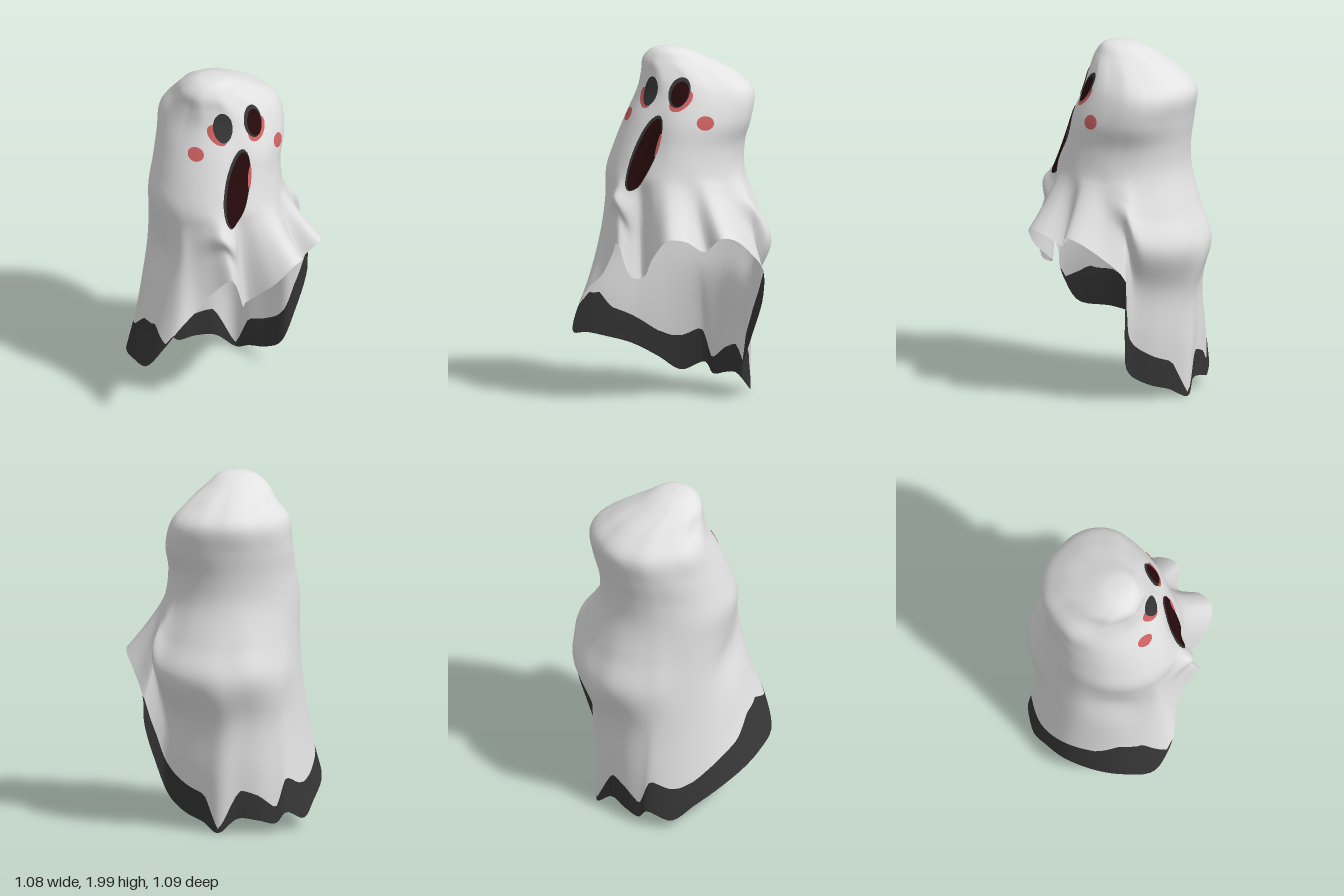
import * as THREE from 'three';

const mat = (name, color) => {
  const m = new THREE.MeshStandardMaterial({ color, side: THREE.DoubleSide });
  m.name = name;
  return m;
};
const cloth = mat('pale cloth', 0xe2e2e2);
const charcoal = mat('charcoal', 0x363636);
const maroon = mat('dark maroon', 0x260a0c);
const blush = mat('blush red', 0xd06262);

// Head rings: y, x min, x max, z min, z max
const HEAD = [
  [2.0, -0.06, -0.06, 0.04, 0.04],
  [1.985, -0.16, 0.03, -0.06, 0.12],
  [1.93, -0.25, 0.09, -0.19, 0.17],
  [1.85, -0.32, 0.17, -0.34, 0.18],
  [1.75, -0.39, 0.24, -0.44, 0.20],
  [1.6, -0.41, 0.29, -0.425, 0.27],
  [1.45, -0.415, 0.30, -0.40, 0.335],
  [1.3, -0.43, 0.325, -0.40, 0.385],
];
// Local swellings of the head: angle, y, angular width, height, amount
const BUMPS = [
  [0.83, 1.43, 0.24, 0.2, -0.04],
  [5.5, 1.68, 0.5, 0.14, 0.045],
  [2.7, 1.74, 0.3, 0.06, 0.02],
];
// Hem corners, from the left side round by the front: x, y, z, bulge above
const HEM = [
  [0.45, 0.90, -0.03, 0], [0.51, 0.97, 0.10, 0], [0.50, 0.98, 0.20, 0], [0.40, 0.87, 0.26, 0],
  [0.23, 0.73, 0.27, 0], [0.24, 0.74, 0.34, 0.05], [0.20, 0.93, 0.41, 0.06], [0.10, 0.85, 0.41, 0.02],
  [0, 0.72, 0.44, 0], [-0.08, 0.62, 0.51, 0], [-0.16, 0.50, 0.54, -0.02], [-0.27, 0.36, 0.53, -0.04],
  [-0.40, 0.33, 0.41, -0.05], [-0.48, 0.29, 0.28, -0.04], [-0.54, 0.23, 0.10, -0.01], [-0.54, 0.15, -0.05, 0],
  [-0.52, 0.07, -0.18, 0.01], [-0.45, 0.12, -0.30, 0.04], [-0.40, 0.06, -0.33, 0.06], [-0.31, 0.08, -0.38, 0.09],
  [-0.20, 0.09, -0.41, 0.12], [-0.10, 0.01, -0.46, 0.12], [0, 0.06, -0.41, 0.14], [0.12, 0.10, -0.36, 0.15],
  [0.23, 0.18, -0.31, 0.15], [0.30, 0.38, -0.35, 0.13], [0.35, 0.60, -0.40, 0.09], [0.36, 0.76, -0.40, 0.05],
  [0.44, 0.88, -0.30, 0], [0.52, 0.97, -0.18, 0], [0.53, 0.98, -0.10, 0],
];
// Depth of the dark band at each hem corner
const BAND = [0, 0, 0, 0, 0, 0, 0, 0, 0, 0, 0.02, 0.23, 0.23, 0.17, 0.16, 0.15,
  0.2, 0.19, 0.09, 0.14, 0.16, 0.02, 0.16, 0.17, 0.18, 0.15, 0.09, 0, 0, 0, 0];
// Drape rings between head and hem: fraction down, bulge weight
const DRAPE = [[0.18, 0.5], [0.34, 1], [0.55, 0.35], [0.78, 0.2], [1, 0]];
const COLS = 140, ROWS = 72, BAND_ROWS = 6;

// Direction of each hem corner, evened out a little for the head rings
const TURN = Math.PI * 2;
const angles = HEM.map(([x, , z], i) => {
  let a = Math.atan2(z + 0.05, x + 0.05);
  if (i > 4 && a < 0) a += TURN;
  return a * 0.6 + (0.04 + i * TURN / HEM.length) * 0.4;
});

function headPoint([y, x0, x1, z0, z1], a) {
  // soft gathers in the cloth at the brow
  const k = 1 + 0.02 * Math.sin(9 * a) * Math.exp(-(((y - 1.84) / 0.1) ** 2));
  let d = 0;
  for (const [a0, y0, wa, wy, amount] of BUMPS) {
    d += amount * Math.exp(-(((a - a0) / wa) ** 2) - ((y - y0) / wy) ** 2);
  }
  return new THREE.Vector3(
    (x0 + x1) / 2 + ((x1 - x0) / 2 * k + d) * Math.cos(a), y,
    (z0 + z1) / 2 + ((z1 - z0) / 2 * k + d) * Math.sin(a));
}

function makeMeridians() {
  const rings = HEAD.map(r => angles.map(a => headPoint(r, a)));
  const last = rings[rings.length - 1];
  for (const [s, w] of DRAPE) {
    rings.push(HEM.map(([x, y, z, bulge], i) => {
      // the front right corner hangs straighter and flares late
      const late = Math.max(0, Math.cos(angles[i] - 2.35)) ** 2;
      const p = last[i].clone(), f = Math.pow(s, 1.25 + 0.9 * late);
      p.set(p.x + (x - p.x) * f, p.y + (y - p.y) * s, p.z + (z - p.z) * f);
      p.x += Math.cos(angles[i]) * bulge * w;
      p.z += Math.sin(angles[i]) * bulge * w;
      return p;
    }));
  }
  const loops = rings.map(r => new THREE.CatmullRomCurve3(r, true));
  return Array.from({ length: COLS }, (_, j) =>
    new THREE.CatmullRomCurve3(loops.map(c => c.getPoint(j / COLS))));
}

// Parameter where the dark hem band starts on a meridian
function bandStart(curve, j) {
  const hemY = curve.getPoint(1).y;
  const u = j / COLS * HEM.length, i = Math.floor(u);
  const depth = THREE.MathUtils.lerp(BAND[i], BAND[(i + 1) % BAND.length], u - i);
  if (depth < 0.01) return 1;
  let lo = 0.5, hi = 1;
  for (let n = 0; n < 20; n++) {
    const m = (lo + hi) / 2;
    if (curve.getPoint(m).y > hemY + depth) lo = m; else hi = m;
  }
  return lo;
}

function makeGeometry(pos, idx) {
  const g = new THREE.BufferGeometry();
  g.setAttribute('position', new THREE.Float32BufferAttribute(pos, 3));
  g.setIndex(idx);
  g.computeVertexNormals();
  return g;
}

function loft(curves, starts, ends, rows) {
  const pos = [], idx = [];
  for (let i = 0; i <= rows; i++) {
    curves.forEach((c, j) => pos.push(...c.getPoint(starts[j] + (ends[j] - starts[j]) * i / rows).toArray()));
  }
  for (let i = 0; i < rows; i++) {
    for (let j = 0; j < COLS; j++) {
      const k = (j + 1) % COLS;
      if (ends[j] - starts[j] < 1e-4 && ends[k] - starts[k] < 1e-4) continue;
      const a = i * COLS + j, b = i * COLS + k;
      idx.push(a, b, a + COLS, b, b + COLS, a + COLS);
    }
  }
  return makeGeometry(pos, idx);
}

// Oval patch laid onto the cloth; lean shifts its top sideways
function patch(sheet, [x, y, z], deg, w, h, lift, lean = 0) {
  const t = THREE.MathUtils.degToRad(deg);
  const n = new THREE.Vector3(Math.cos(t), 0, Math.sin(t));
  const right = new THREE.Vector3(0, 1, 0).cross(n);
  const ray = new THREE.Raycaster();
  const R = 5, S = 28, pos = [], idx = [];
  for (let r = 0; r <= R; r++) {
    for (let s = 0; s < S; s++) {
      const a = s / S * TURN, v = Math.sin(a) * r / R;
      const p = new THREE.Vector3(x, y + v * h, z)
        .addScaledVector(right, Math.cos(a) * r / R * w + v * lean);
      ray.set(p.clone().addScaledVector(n, 0.6), n.clone().negate());
      const hit = ray.intersectObject(sheet)[0];
      pos.push(...(hit ? hit.point : p).clone().addScaledVector(n, lift).toArray());
      if (r < R) {
        const i = r * S + s, k = r * S + (s + 1) % S;
        if (r > 0) idx.push(i, i + S, k);
        idx.push(i + S, k + S, k);
      }
    }
  }
  return makeGeometry(pos, idx);
}

export function createModel() {
  const model = new THREE.Group();
  model.name = 'ghost';
  const add = (name, geometry, material) => {
    const m = new THREE.Mesh(geometry, material);
    m.name = name;
    model.add(m);
    return m;
  };

  // Draped sheet and its dark hem
  const curves = makeMeridians();
  const split = curves.map(bandStart);
  const sheet = add('sheet', loft(curves, split.map(() => 0), split, ROWS), cloth);
  add('hemBand', loft(curves, split, split.map(() => 1), BAND_ROWS), charcoal);

  const put = (name, material, ...args) => add(name, patch(sheet, ...args), material);

  // Cheeks
  put('rightCheek', blush, [-0.07, 1.62, 0.28], 80, 0.048, 0.037, 0.005);
  put('leftCheek', blush, [0.29, 1.605, -0.08], 5, 0.05, 0.04, 0.005);

  // Eyes with red smudges below
  put('rightEyeSmudge', blush, [0.035, 1.725, 0.2], 58, 0.052, 0.055, 0.004, -0.02);
  put('leftEyeSmudge', blush, [0.22, 1.725, 0.05], 45, 0.058, 0.06, 0.004, 0.02);
  put('rightEye', charcoal, [0.055, 1.765, 0.17], 58, 0.055, 0.08, 0.007);
  put('leftEyeRim', charcoal, [0.2, 1.77, 0.055], 45, 0.06, 0.082, 0.007);
  put('leftEye', maroon, [0.205, 1.762, 0.05], 45, 0.048, 0.068, 0.01);

  // Mouth, seen from outside and from under the sheet
  const mouth = [0.16, 1.425, 0.225];
  put('mouthRim', charcoal, [0.157, 1.43, 0.23], 48, 0.077, 0.212, 0.007, 0.055);
  put('mouth', maroon, mouth, 48, 0.066, 0.2, 0.01, 0.055);
  put('mouthInside', maroon, mouth, 48, 0.07, 0.2, -0.01, 0.055);
  put('mouthSmudge', blush, [0.213, 1.48, 0.17], 48, 0.01, 0.065, 0.012, 0.01);
  return model;
}
